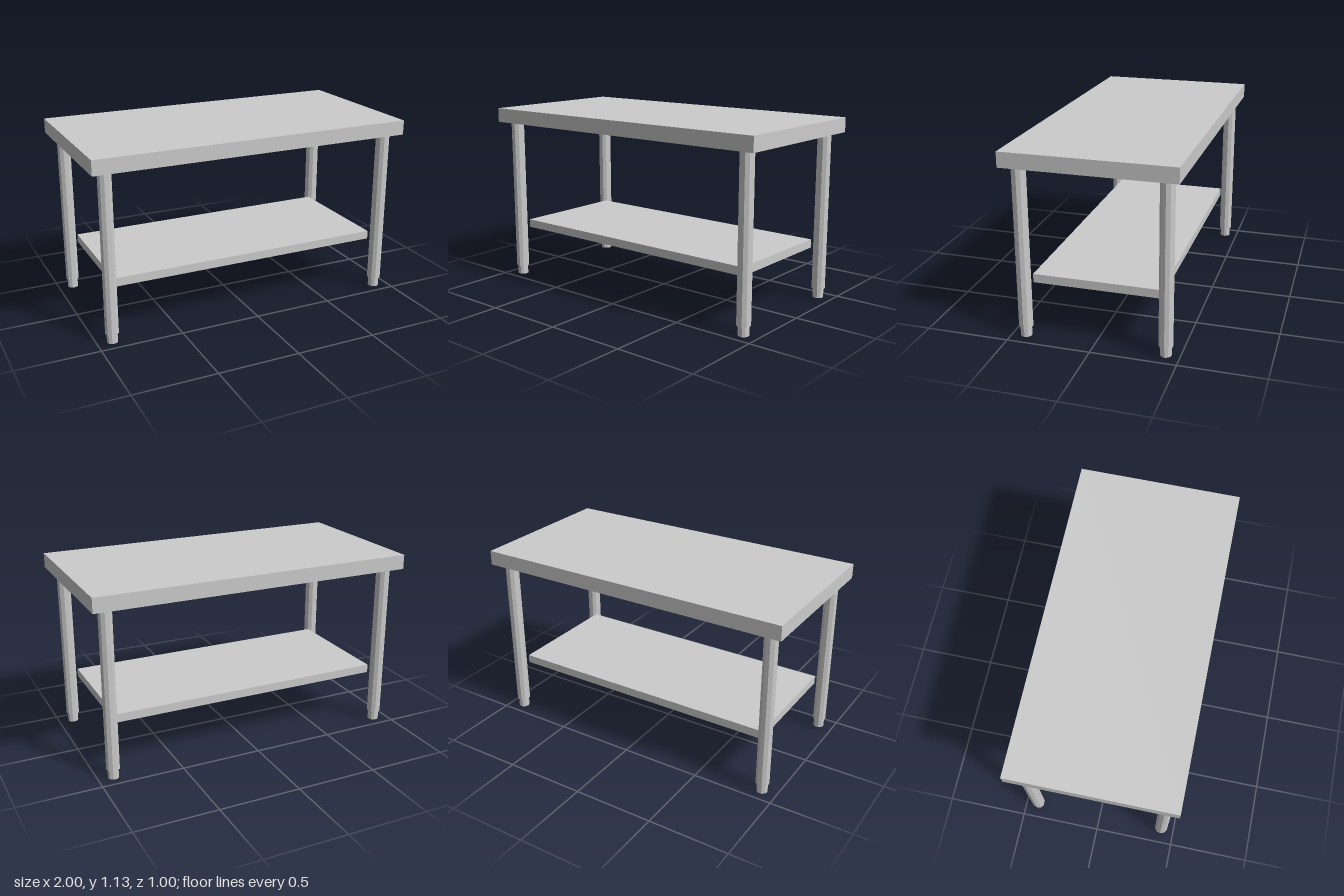
import * as THREE from 'three';

export function createModel() {
  const table = new THREE.Group();
  table.name = 'workTable';
  const material = new THREE.MeshStandardMaterial({ color: 0xcccccc, flatShading: true });

  const add = (parent, name, geometry, x, y, z) => {
    const mesh = new THREE.Mesh(geometry, material);
    mesh.name = name;
    mesh.position.set(x, y, z);
    parent.add(mesh);
  };

  // Slab spanning y0..y1
  const slab = (name, width, depth, y0, y1) =>
    add(table, name, new THREE.BoxGeometry(width, y1 - y0, depth), 0, (y0 + y1) / 2, 0);

  slab('tableTop', 2, 1, 1.04, 1.13);
  slab('lowerShelf', 1.736, 0.754, 0.322, 0.374);

  // Ten-sided post with a corner pointing along x
  const post = (radius, height) =>
    new THREE.CylinderGeometry(radius, radius, height, 10, 1, false, Math.PI / 2);

  const footHeight = 0.058;
  const postGeometry = post(0.0415, 1.04 - footHeight);
  const footGeometry = post(0.0335, footHeight);

  // Four legs, each a post on a narrower foot
  for (const sx of [-1, 1]) {
    for (const sz of [-1, 1]) {
      const leg = new THREE.Group();
      leg.name = (sz > 0 ? 'front' : 'back') + (sx > 0 ? 'Left' : 'Right') + 'Leg';
      leg.position.set(sx * 0.908, 0, sz * 0.417);
      add(leg, 'post', postGeometry, 0, (1.04 + footHeight) / 2, 0);
      add(leg, 'foot', footGeometry, 0, footHeight / 2, 0);
      table.add(leg);
    }
  }
  return table;
}
